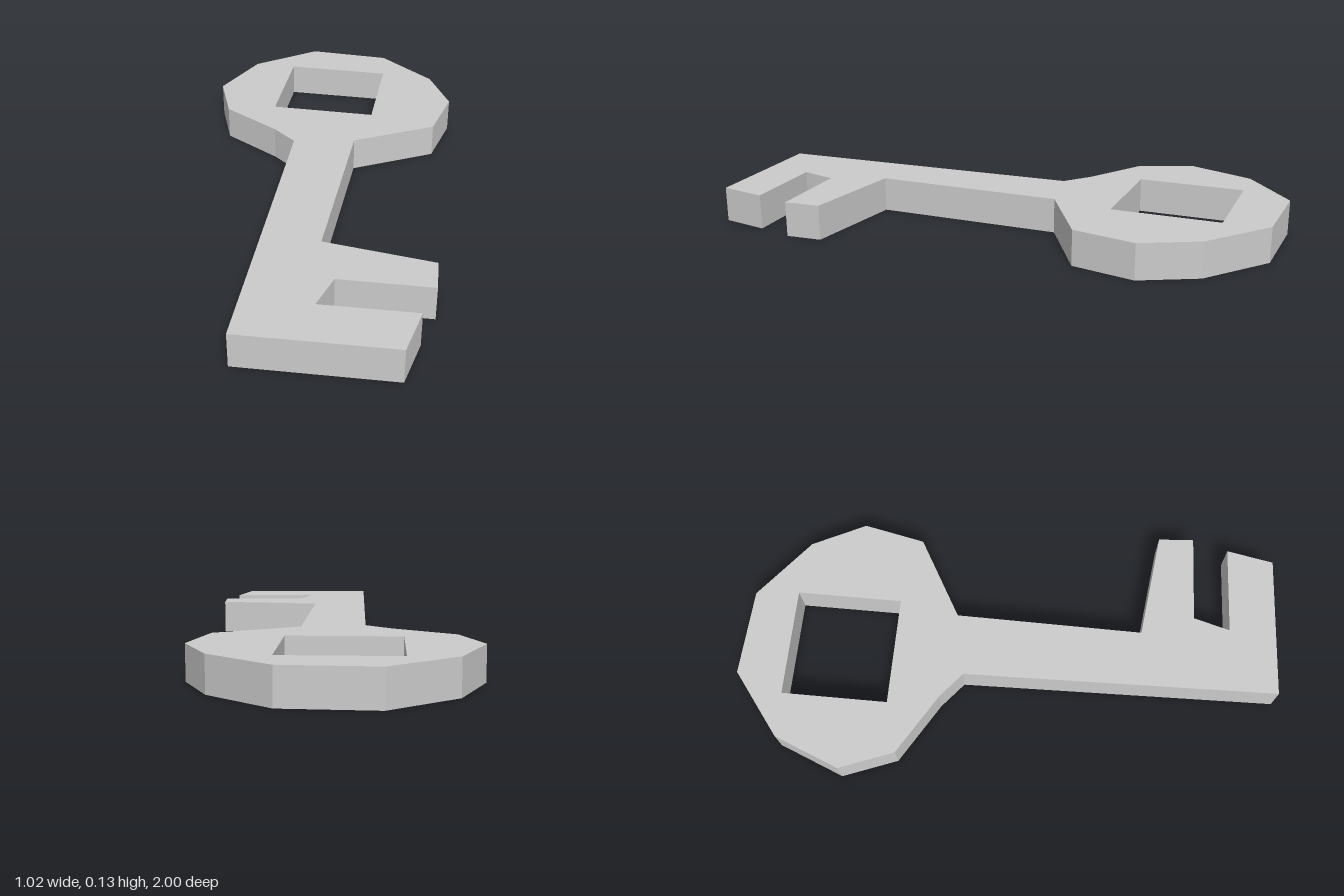
import * as THREE from 'three';

const THICKNESS = 0.127;

// Plan points are [x, z]; the shape is drawn with y = -z, then laid flat.
const toPlan = (points) => points.map(([x, z]) => new THREE.Vector2(x, -z));

export function createModel() {
  const group = new THREE.Group();
  group.name = 'key';

  const outline = new THREE.Shape(toPlan([
    // bow, right side
    [-0.185, -1], [0.135, -0.985], [0.36, -0.805], [0.458, -0.607], [0.41, -0.378], [0.115, -0.21],
    // shank, right side
    [0.108, 0.485],
    // upper tooth
    [0.503, 0.535], [0.512, 0.667], [0.185, 0.68],
    // lower tooth
    [0.148, 0.815], [0.477, 0.8], [0.444, 0.975],
    // tip and shank, left side
    [-0.087, 1], [-0.116, -0.165],
    // bow, left side
    [-0.21, -0.243], [-0.435, -0.378], [-0.512, -0.577], [-0.415, -0.82],
  ]));

  // square opening in the bow
  outline.holes.push(new THREE.Path(toPlan([
    [-0.25, -0.823], [-0.25, -0.432], [0.153, -0.432], [0.153, -0.823],
  ])));

  const geometry = new THREE.ExtrudeGeometry(outline, { depth: THICKNESS, bevelEnabled: false });
  geometry.rotateX(-Math.PI / 2);

  const body = new THREE.Mesh(
    geometry,
    new THREE.MeshStandardMaterial({ color: 0xcccccc, flatShading: true }),
  );
  body.name = 'keyBody';
  group.add(body);
  return group;
}
